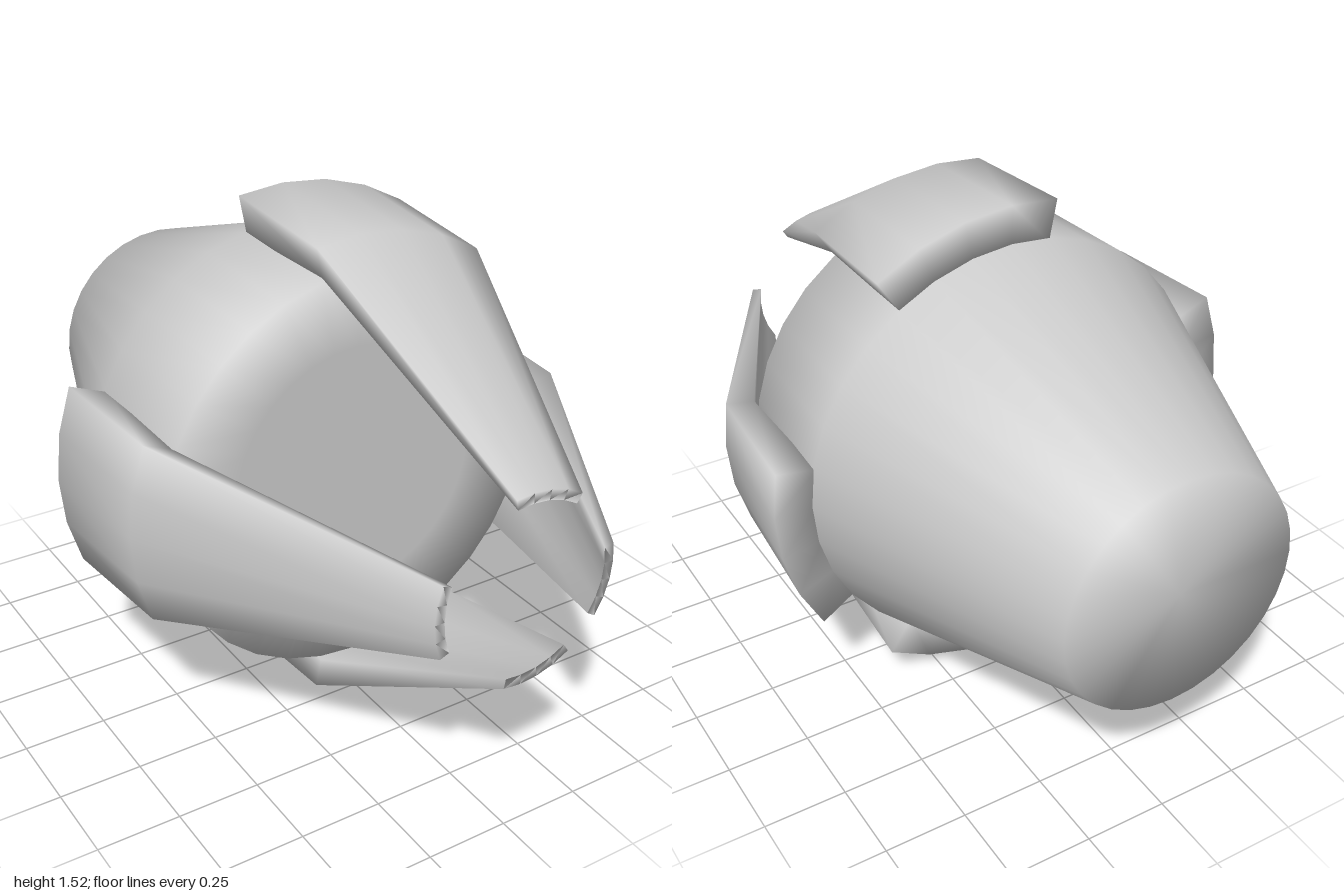
import * as THREE from 'three';

const CENTER_Y = 0.765;
const STEPS = 4; // segments across one claw

// Curved claw: arc-shaped cross-sections [z, inner radius, outer radius, x shift] joined along z
function clawGeometry(angle) {
  const sections = [
    [-0.17, 0.635, 0.76, 0],
    [0.24, 0.64, 0.73, 0],
    [1.0, 0.26, 0.29, 0.02],
  ];
  const half = THREE.MathUtils.degToRad(22.1);
  const n = 2 * (STEPS + 1);
  const positions = [];
  const index = [];
  for (const [z, inner, outer, shift] of sections) {
    for (let i = 0; i < n; i++) {
      const onOuter = i <= STEPS;
      const k = onOuter ? i : n - 1 - i;
      const a = angle - half + (2 * half * k) / STEPS;
      const r = onOuter ? outer : inner;
      positions.push(shift + r * Math.cos(a), r * Math.sin(a), z);
    }
  }
  // Walls
  for (let s = 0; s < sections.length - 1; s++) {
    for (let i = 0; i < n; i++) {
      const a = s * n + i;
      const b = s * n + ((i + 1) % n);
      index.push(a, b, b + n, a, b + n, a + n);
    }
  }
  // Rear and tip end faces
  const tip = (sections.length - 1) * n;
  for (let k = 0; k < STEPS; k++) {
    const [a, b, c, d] = [k, k + 1, n - 2 - k, n - 1 - k];
    index.push(a, c, b, a, d, c);
    index.push(tip + a, tip + b, tip + c, tip + a, tip + c, tip + d);
  }
  const geometry = new THREE.BufferGeometry();
  geometry.setAttribute('position', new THREE.Float32BufferAttribute(positions, 3));
  geometry.setIndex(index);
  geometry.computeVertexNormals();
  return geometry;
}

export function createModel() {
  const model = new THREE.Group();
  model.name = 'clawPod';
  const material = new THREE.MeshStandardMaterial({ color: 0xcccccc });

  // Tapered body, closed at both ends, with softly shaded rims
  const profile = [
    [0, -1], [0.36, -1], [0.645, -0.17], [0.625, 0.24], [0.4, 0.24], [0, 0.24],
  ].map(([r, z]) => new THREE.Vector2(r, z));
  const body = new THREE.Mesh(new THREE.LatheGeometry(profile, 32).rotateX(Math.PI / 2), material);
  body.name = 'body';
  body.position.y = CENTER_Y;
  model.add(body);

  // Four claws around the front rim
  const claws = { leftClaw: -11.25, topClaw: 78.75, rightClaw: 180, bottomClaw: 281.25 };
  for (const [name, degrees] of Object.entries(claws)) {
    const claw = new THREE.Mesh(clawGeometry(THREE.MathUtils.degToRad(degrees)), material);
    claw.name = name;
    claw.position.y = CENTER_Y;
    model.add(claw);
  }
  return model;
}
